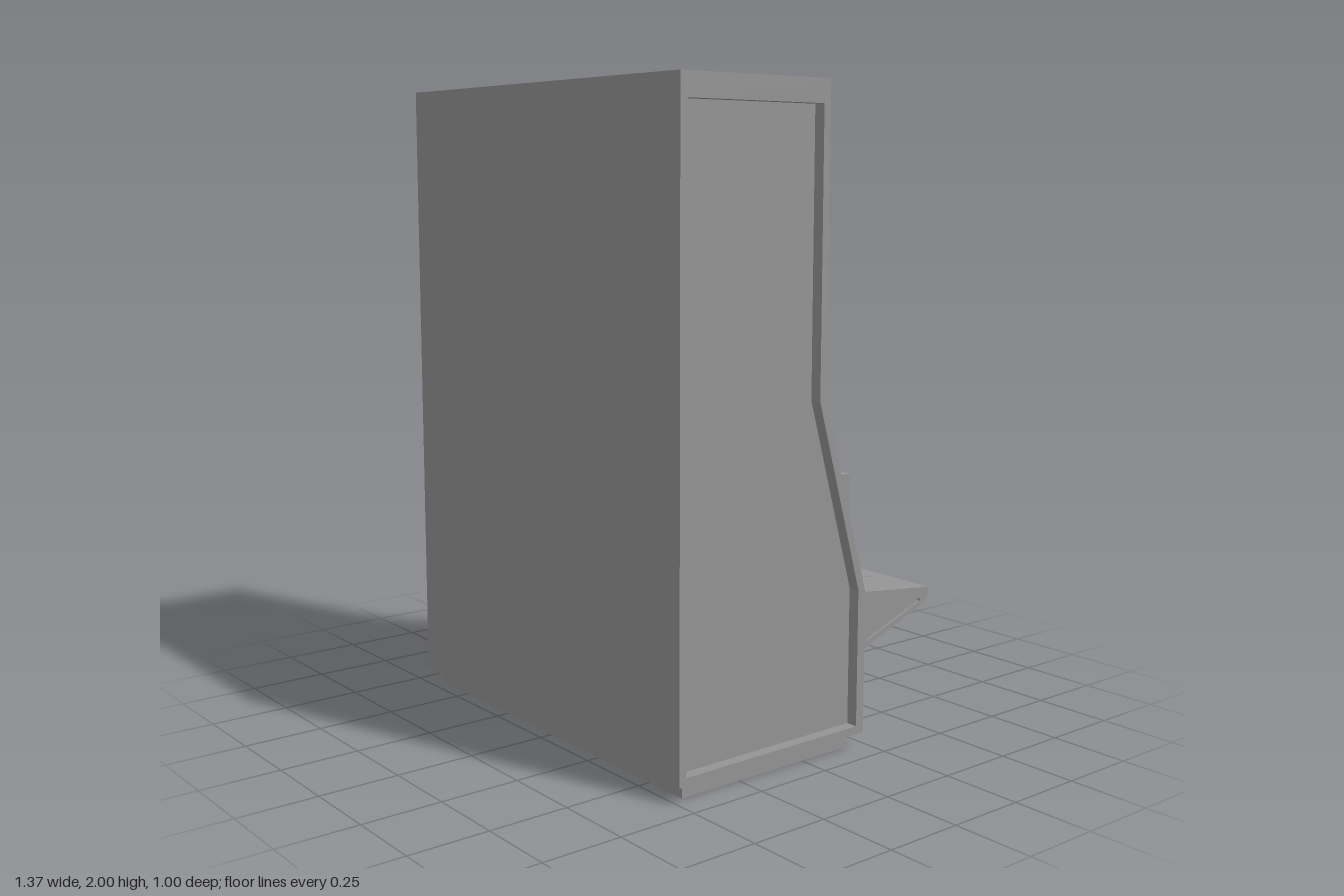
import * as THREE from 'three';

const grey = new THREE.MeshStandardMaterial({ color: 0x949494 });
const green = new THREE.MeshStandardMaterial({ color: 0x00f000 });

function add(parent, name, geo, x = 0, y = 0, z = 0, mat = grey) {
  const m = new THREE.Mesh(geo, mat);
  m.name = name;
  m.position.set(x, y, z);
  parent.add(m);
  return m;
}
const box = (p, name, w, h, d, x, y, z) => add(p, name, new THREE.BoxGeometry(w, h, d), x, y, z);

// Upright plate given by its edges, standing out from local z towards -z
const plate = (p, name, x0, x1, y0, y1, d, z = 0) =>
  box(p, name, x1 - x0, y1 - y0, d, (x0 + x1) / 2, (y0 + y1) / 2, z - d / 2);

// Round part whose axis points out of the panel (-z)
function disc(p, name, rOut, rIn, d, x, y, z = 0, n = 12) {
  const g = new THREE.CylinderGeometry(rOut, rIn, d, n).rotateX(-Math.PI / 2);
  return add(p, name, g, x, y, z - d / 2);
}

function polygon(pts, hole) {
  const s = new THREE.Shape(pts.map(a => new THREE.Vector2(...a)));
  if (hole) s.holes.push(new THREE.Path(hole.map(a => new THREE.Vector2(...a))));
  return s;
}
const extrude = (shape, depth) => new THREE.ExtrudeGeometry(shape, { depth, bevelEnabled: false });

// Side profile in (-z, y), extruded across x from x0 to x1
const profile = (p, name, pts, x0, x1, hole) =>
  add(p, name, extrude(polygon(pts, hole), x1 - x0).rotateY(Math.PI / 2), x0);
const rect = (x0, x1, y0, y1) => [[x0, y0], [x1, y0], [x1, y1], [x0, y1]];

// Frame with a bulging green screen inside
function screen(p, name, x0, x1, y0, y1, b, depth, base, bulge) {
  const shape = polygon(rect(x0, x1, y0, y1), rect(x0 + b, x1 - b, y0 + b, y1 - b));
  add(p, name + 'Frame', extrude(shape, depth), 0, 0, -depth);
  const w = x1 - x0 - 2 * b, h = y1 - y0 - 2 * b;
  const g = new THREE.PlaneGeometry(w, h, 16, 12);
  const pos = g.attributes.position;
  for (let i = 0; i < pos.count; i++) {
    const u = 2 * pos.getX(i) / w, v = 2 * pos.getY(i) / h;
    pos.setZ(i, bulge * (1 - u ** 4) * (1 - v * v));
  }
  g.rotateY(Math.PI);
  g.computeVertexNormals();
  add(p, name, g, (x0 + x1) / 2, (y0 + y1) / 2, -base, green);
}

function subgroup(root, name, y, z, tilt) {
  const g = new THREE.Group();
  g.name = name;
  g.position.set(0, y, z);
  g.rotation.x = tilt;
  root.add(g);
  return g;
}

export function createModel() {
  const root = new THREE.Group();
  root.name = 'controlConsole';

  // Cabinet with recessed sides and a plinth
  const outline = [[-0.5, 0.05], [0.22, 0.05], [0.22, 0.49], [0.045, 1.08], [0.045, 2], [-0.5, 2]];
  const inset = [[-0.475, 0.075], [0.19, 0.075], [0.19, 0.5], [0.02, 1.085], [0.02, 1.93], [-0.475, 1.93]];
  profile(root, 'cabinet', outline, -0.65, 0.65);
  profile(root, 'sideFrameLeft', outline, 0.65, 0.687, inset);
  profile(root, 'sideFrameRight', outline, -0.687, -0.65, inset);
  box(root, 'plinth', 1.3, 0.05, 0.64, 0, 0.025, 0.14);

  // Upright instrument panel
  const upper = subgroup(root, 'instrumentPanel', 0, -0.045, 0);
  plate(upper, 'panelPlate', -0.244, 0.665, 1.09, 1.97, 0.01);
  plate(upper, 'blankPlate', -0.63, -0.28, 1.25, 1.94, 0.002);
  for (let c = 0; c < 8; c++) {
    const rows = c < 3 ? 8 : c === 3 ? 2 : c === 4 ? 3 : 4;
    for (let r = 0; r < rows; r++) {
      const x = 0.605 - c * 0.112, y = 1.89 - r * 0.102;
      disc(upper, 'knobCollar', 0.024, 0.026, 0.006, x, y, -0.01);
      disc(upper, 'knob', 0.015, 0.018, 0.01, x, y, -0.016);
      disc(upper, 'knobLamp', 0.008, 0.008, 0.006, x, y + 0.034, -0.01, 8);
    }
  }
  screen(upper, 'upperSquareScreen', 0.16, 0.31, 1.52, 1.655, 0.016, 0.04, 0.026, 0.018);
  screen(upper, 'lowerSquareScreen', 0.16, 0.31, 1.325, 1.46, 0.016, 0.04, 0.026, 0.018);
  screen(upper, 'wideScreen', -0.04, 0.31, 1.12, 1.255, 0.016, 0.04, 0.026, 0.018);
  screen(upper, 'sideScreen', -0.61, -0.265, 1.1, 1.24, 0.016, 0.04, 0.026, 0.018);
  plate(upper, 'labelPlate', -0.19, 0.06, 1.465, 1.56, 0.008, -0.01);
  plate(upper, 'labelPlate', -0.19, 0.06, 1.35, 1.445, 0.008, -0.01);
  plate(upper, 'labelPlate', -0.06, 0.06, 1.27, 1.33, 0.008, -0.01);
  plate(upper, 'labelPlate', -0.19, -0.075, 1.25, 1.33, 0.008, -0.01);
  for (let i = 0; i < 6; i++) disc(upper, 'smallButton', 0.01, 0.01, 0.008, 0.095, 1.31 + i * 0.055, -0.01, 8);
  for (let i = 0; i < 8; i++) disc(upper, 'smallButton', 0.01, 0.01, 0.008, 0.635 - i * 0.042, 1.12, -0.01, 8);
  for (let i = 0; i < 10; i++) {
    disc(upper, 'smallButton', 0.01, 0.01, 0.008, -0.14 - (i % 2) * 0.05, 1.12 + (i >> 1) * 0.028, -0.01, 8);
  }
  disc(upper, 'cordSocket', 0.035, 0.04, 0.03, -0.06, 1.18, -0.01, 20);

  // Sloped panel; its local y runs up the slope
  const slope = subgroup(root, 'slopedPanel', 0.49, -0.22, Math.atan2(0.175, 0.59));
  screen(slope, 'mainScreen', -0.16, 0.465, 0.025, 0.545, 0.06, 0.03, 0.002, 0.042);
  for (const [y0, y1] of [[0.13, 0.245], [0.285, 0.4], [0.43, 0.545]]) {
    plate(slope, 'buttonBank', -0.62, -0.275, y0, y1, 0.02);
    for (let i = 0; i < 16; i++) {
      disc(slope, 'bankButton', 0.01, 0.011, 0.009, -0.31 - (i % 8) * 0.039, (y0 + y1) / 2 + (i < 8 ? 0.024 : -0.024), -0.02, 8);
    }
  }
  plate(slope, 'handsetPlate', -0.25, -0.17, 0.06, 0.54, 0.012);
  for (let i = 0; i < 4; i++) plate(slope, 'ventSlot', -0.24, -0.18, 0.09 + i * 0.025, 0.1 + i * 0.025, 0.006, -0.012);
  plate(slope, 'dialPlate', 0.53, 0.63, 0.42, 0.53, 0.012);
  disc(slope, 'dial', 0.028, 0.032, 0.015, 0.58, 0.475, -0.012, 20);

  // Upright rack on the slope
  const rack = [[0.19, 0.57], [0.225, 0.57], [0.225, 0.84], [0.11, 0.84]];
  profile(root, 'rack', rack, 0.52, 0.61);
  box(root, 'rackSlot', 0.025, 0.2, 0.012, 0.565, 0.71, -0.225);

  // Joystick on its tapering platform
  const platform = polygon([[-0.58, 0.18], [-0.31, 0.18], [-0.345, 0.355], [-0.545, 0.355]]);
  add(root, 'joystickPlatform', extrude(platform, 0.02).rotateX(-Math.PI / 2), 0, 0.598, 0);
  add(root, 'joystickBase', new THREE.CylinderGeometry(0.032, 0.05, 0.035, 6), -0.46, 0.635, -0.285);
  add(root, 'joystickShaft', new THREE.CylinderGeometry(0.007, 0.009, 0.1, 8), -0.46, 0.69, -0.285);
  add(root, 'joystickGrip', new THREE.SphereGeometry(0.018, 12, 10), -0.46, 0.735, -0.285);

  // Hanging handset, its arm and cord
  const arm = polygon([[-0.255, 0.1], [-0.155, 0.1], [-0.175, 0.29], [-0.235, 0.29]]);
  add(root, 'handsetArm', extrude(arm, 0.035).rotateX(-Math.PI / 2), 0, 0.945, 0);
  const body = [[0, 0.56], [0.014, 0.56], [0.019, 0.6], [0.018, 0.76], [0.028, 0.8], [0.05, 0.81], [0.052, 0.93], [0.045, 0.945], [0, 0.945]];
  const lathe = new THREE.LatheGeometry(body.map(a => new THREE.Vector2(...a)), 20);
  add(root, 'handset', lathe, -0.205, 0, -0.243);
  const cord = [[-0.06, 1.18, -0.07], [-0.07, 1.19, -0.115], [-0.09, 1.1, -0.14], [-0.1, 0.95, -0.125], [-0.11, 0.8, -0.175],
    [-0.14, 0.65, -0.225], [-0.18, 0.555, -0.24], [-0.205, 0.6, -0.245]].map(a => new THREE.Vector3(...a));
  add(root, 'cord', new THREE.TubeGeometry(new THREE.CatmullRomCurve3(cord), 60, 0.015, 8));

  // Shelf with triangular end brackets
  profile(root, 'shelf', [[0.2, 0.455], [0.495, 0.425], [0.5, 0.46], [0.2, 0.492]], -0.687, 0.687);
  const tri = [[0.22, 0.31], [0.49, 0.415], [0.495, 0.45], [0.22, 0.48]];
  const triHole = [[0.235, 0.335], [0.465, 0.42], [0.465, 0.43], [0.235, 0.455]];
  for (const s of [-1, 1]) {
    profile(root, 'shelfBracket', tri, s * 0.665 - 0.01, s * 0.665 + 0.01);
    profile(root, 'bracketRim', tri, s * 0.68 - 0.005, s * 0.68 + 0.005, triHole);
  }

  // Keyboard tray, nearly flush; its local y is the shelf normal
  const desk = subgroup(root, 'keyboardTray', 0.475, -0.36, -0.107);
  const key = (x, z, w = 0.013, d = 0.012) => box(desk, 'key', w, 0.006, d, x, 0.006, z + 0.36);
  box(desk, 'tray', 0.685, 0.004, 0.17, 0.167, 0, 0.01);
  box(desk, 'keyboard', 0.32, 0.006, 0.14, 0.19, 0.002, 0.015);
  for (let r = 0; r < 5; r++) {
    for (let c = 0; c < 13; c++) key(0.113 + c * 0.0182, -0.375 + r * 0.019);
    if (r < 3) for (let c = 0; c < 3; c++) key(0.053 + c * 0.018, -0.345 + r * 0.019);
  }
  key(0.235, -0.395, 0.09);
  key(0.07, -0.385, 0.03);
  for (let i = 0; i < 13; i++) {
    box(desk, 'trayKey', 0.018, 0.006, 0.018, -0.14 + (i % 5) * 0.03, 0.004, -0.035 + Math.floor(i / 5) * 0.032);
  }
  for (let i = 0; i < 5; i++) box(desk, 'traySwitch', 0.014, 0.006, 0.045, 0.375 + i * 0.028, 0.003, 0.01);

  // Two rows of three drawers with bar handles
  for (const x of [0.43, 0.02, -0.4]) {
    for (const [y0, y1] of [[0.08, 0.245], [0.275, 0.435]]) {
      const y = (y0 + y1) / 2 + 0.02;
      plate(root, 'drawer', x - 0.19, x + 0.19, y0, y1, 0.014, -0.22);
      plate(root, 'drawerFace', x - 0.165, x + 0.165, y0 + 0.02, y1 - 0.02, 0.006, -0.234);
      box(root, 'drawerHandle', 0.2, 0.013, 0.012, x, y, -0.266);
      for (const s of [-1, 1]) box(root, 'handlePost', 0.013, 0.013, 0.035, x + s * 0.09, y, -0.25);
    }
  }
  return root;
}
